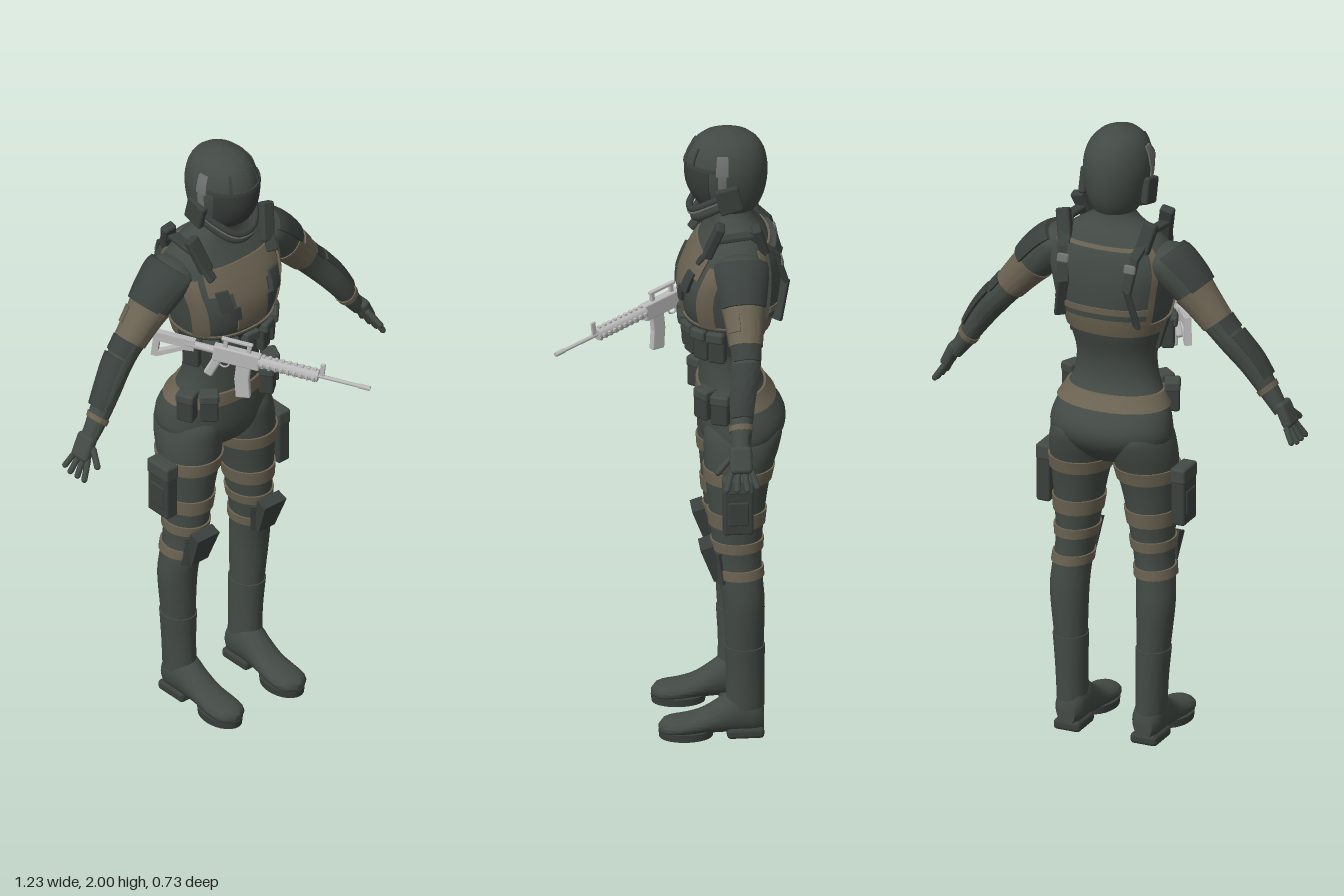
import * as THREE from 'three';
import { toCreasedNormals } from 'three/addons/utils/BufferGeometryUtils.js';
import { RoundedBoxGeometry } from 'three/addons/geometries/RoundedBoxGeometry.js';

const mat = (name, color) => Object.assign(new THREE.MeshStandardMaterial({ color }), { name });
const PI = Math.PI;

export function createModel() {
  const root = new THREE.Group();
  root.name = 'soldier';
  const suit = mat('suit', 0x434a45), tan = mat('tan webbing', 0x6b6352), dark = mat('dark gear', 0x3a403d);
  const visorMat = mat('visor', 0x363c39), grey = mat('grey fittings', 0x6c706e), steel = mat('rifle steel', 0xbababa);

  const add = (name, geo, m, parent = root, pos = [0, 0, 0], rot = [0, 0, 0]) => {
    const mesh = new THREE.Mesh(geo, m);
    mesh.name = name;
    mesh.position.set(...pos);
    mesh.rotation.set(...rot);
    parent.add(mesh);
    return mesh;
  };
  const rbox = (w, h, d, r = 0.008) => new RoundedBoxGeometry(w, h, d, 2, Math.min(r, w / 2.1, h / 2.1, d / 2.1));

  // Cross-section rows are [y, cx, cz, rx, rz, squareness], smoothed along y
  const profile = (rows) => {
    const out = [], K = 6, n = rows.length - 1;
    for (let i = 0; i < n; i++) for (let k = 0; k < K; k++) {
      const t = k / K, [p, q, r, s] = [-1, 0, 1, 2].map((d) => rows[Math.min(n, Math.max(0, i + d))]);
      out.push(q.map((b, c) => b + 0.5 * t * (r[c] - p[c] + t * (2 * p[c] - 5 * b + 4 * r[c] - s[c] + t * (3 * (b - r[c]) + s[c] - p[c])))));
    }
    out.push(rows[n]);
    return out;
  };
  const rowAt = (rows, y) => {
    let i = 0;
    while (i < rows.length - 2 && rows[i + 1][0] < y) i++;
    const a = rows[i], b = rows[i + 1], t = THREE.MathUtils.clamp((y - a[0]) / (b[0] - a[0]), 0, 1);
    return a.map((v, c) => v + (b[c] - v) * t);
  };
  // Angle 0 faces +z, positive turns toward +x
  const onSurface = (rows, y, a, grow = 0, scale = 1) => {
    const [, cx, cz, rx, rz, n = 2] = rowAt(rows, y);
    const f = (v) => Math.sign(v) * Math.abs(v) ** (2 / n);
    return [cx + f(Math.sin(a)) * (rx + grow) * scale, y, cz + f(Math.cos(a)) * (rz + grow) * scale];
  };
  // Raised patch over a body surface, rimmed at its edges; a full turn is capped instead
  const patch = (rows, y0, y1, a0 = 0, a1 = 2 * PI, grow = 0) => {
    if (a1 < a0) [a0, a1] = [a1, a0];
    const full = a1 - a0 > 6.28, N = Math.max(2, Math.ceil((y1 - y0) / 0.018)), M = Math.max(3, Math.ceil((a1 - a0) * 6.5));
    const pos = [], idx = [], e = full ? 0 : 1, W = M + 1 + 2 * e;
    for (let i = -1; i <= N + 1; i++) for (let j = -e; j <= M + e; j++) {
      const rimY = i < 0 || i > N, rimA = j < 0 || j > M, { clamp } = THREE.MathUtils;
      const y = y0 + (y1 - y0) * clamp(i / N, 0, 1), a = a0 + (a1 - a0) * clamp(j / M, 0, 1);
      pos.push(...onSurface(rows, y, a, !full && (rimY || rimA) ? -0.004 : grow, full && rimY ? 0 : 1));
    }
    for (let i = 0; i < N + 2; i++) for (let j = 0; j < W - 1; j++) {
      const p = i * W + j, q = p + W;
      idx.push(p, p + 1, q + 1, p, q + 1, q);
    }
    const g = new THREE.BufferGeometry();
    g.setAttribute('position', new THREE.Float32BufferAttribute(pos, 3));
    g.setIndex(idx);
    return toCreasedNormals(g, 0.8);
  };
  // Flat strap made of box links along a path
  const strap = (name, pts, w, t, m) => {
    for (let i = 0; i < pts.length - 1; i++) {
      const a = new THREE.Vector3(...pts[i]), b = new THREE.Vector3(...pts[i + 1]);
      const mesh = add(name, rbox(w, t, a.distanceTo(b) + 0.01, 0.005), m);
      mesh.position.copy(a).lerp(b, 0.5);
      mesh.lookAt(b);
    }
  };

  // Torso, hips and neck
  const torso = profile([
    [0.925, 0, -0.215, 0.08, 0.07, 2], [0.95, 0, -0.215, 0.15, 0.1, 2], [1.0, 0, -0.225, 0.194, 0.129, 2.1],
    [1.05, 0, -0.226, 0.195, 0.134, 2.1], [1.1, 0, -0.212, 0.18, 0.118, 2.1], [1.15, 0, -0.195, 0.152, 0.1, 2.1],
    [1.2, 0, -0.188, 0.134, 0.09, 2.1], [1.27, 0, -0.19, 0.13, 0.092, 2.1], [1.35, 0, -0.19, 0.15, 0.118, 2.2],
    [1.42, 0, -0.182, 0.168, 0.142, 2.3], [1.5, 0, -0.183, 0.183, 0.147, 2.4], [1.57, 0, -0.195, 0.196, 0.132, 2.4],
    [1.63, 0, -0.207, 0.185, 0.108, 2.3], [1.67, 0, -0.21, 0.15, 0.086, 2.1], [1.7, 0, -0.205, 0.1, 0.068, 2],
    [1.73, 0, -0.198, 0.06, 0.06, 2], [1.79, 0, -0.19, 0.055, 0.056, 2]]);
  add('torso', patch(torso, 0.925, 1.79), suit);
  add('belt', patch(torso, 1.108, 1.152, 0, 2 * PI, 0.008), tan);
  add('lowerVestBand', patch(torso, 1.355, 1.395, 0, 2 * PI, 0.007), tan);
  add('pouchBelt', patch(torso, 1.29, 1.39, -1.6, 1.6, 0.01), dark);
  add('chestPanel', patch(torso, 1.55, 1.625, -0.72, 0.72, 0.006), tan);
  add('sternumPanel', patch(torso, 1.41, 1.55, -0.27, 0.27, 0.006), tan);
  add('backTrim', patch(torso, 1.395, 1.65, PI - 1.05, PI + 1.05, 0.007), tan);
  add('backPlate', patch(torso, 1.42, 1.64, PI - 0.85, PI + 0.85, 0.022), suit);
  add('backPlateBand', patch(torso, 1.44, 1.46, PI - 0.85, PI + 0.85, 0.026), tan);
  for (let i = -3; i <= 3; i++) {
    const a = i * 0.4;
    add('ammoPouch', rbox(0.052, 0.1, 0.04), dark, root, onSurface(torso, 1.33, a, 0.016), [0, a, 0]);
    add('ammoPouchFlap', rbox(0.055, 0.035, 0.044), suit, root, onSurface(torso, 1.367, a, 0.012), [0, a, 0]);
  }

  // Helmet
  const helmet = profile([
    [1.74, 0, -0.195, 0.068, 0.078], [1.77, 0, -0.188, 0.086, 0.102], [1.82, 0, -0.182, 0.099, 0.122],
    [1.88, 0, -0.18, 0.105, 0.127], [1.93, 0, -0.18, 0.096, 0.117], [1.965, 0, -0.18, 0.077, 0.096],
    [1.985, 0, -0.18, 0.055, 0.07], [1.996, 0, -0.18, 0.032, 0.041], [2.0, 0, -0.18, 0.012, 0.016]]);
  add('helmet', patch(helmet, 1.74, 2.0), suit);
  add('visor', patch(helmet, 1.765, 1.895, -1.05, 1.05, 0.003), visorMat);
  add('browRim', patch(helmet, 1.893, 1.904, -1.2, 1.2, 0.006), dark);
  add('crownStrip', patch(helmet, 1.9, 1.965, -0.1, 0.1, 0.004), suit);
  const jaw = (y, z, w) => new THREE.CatmullRomCurve3([[-w, y + 0.085, z - 0.11], [-w * 0.8, y + 0.045, z - 0.05],
    [-w * 0.3, y + 0.003, z], [w * 0.3, y + 0.003, z], [w * 0.8, y + 0.045, z - 0.05], [w, y + 0.085, z - 0.11]].map((p) => new THREE.Vector3(...p)));
  add('jawGuard', new THREE.TubeGeometry(jaw(1.742, -0.072, 0.104), 32, 0.011, 8), dark);
  add('jawGuardTrim', new THREE.TubeGeometry(jaw(1.73, -0.07, 0.106), 32, 0.006, 8), grey);
  add('chinGuard', new THREE.TubeGeometry(jaw(1.713, -0.085, 0.1), 32, 0.012, 8), dark);

  // Everything that comes in pairs: s is +1 for the left side, -1 for the right
  for (const s of [1, -1]) {
    // Helmet sides
    add('earCup', rbox(0.024, 0.085, 0.075), dark, root, [s * 0.106, 1.805, -0.18], [0.25, 0, 0]);
    add('helmetSidePanel', patch(helmet, 1.885, 1.945, s * 1.25, s * 1.55, 0.004), grey);
    add('helmetSideClip', patch(helmet, 1.835, 1.885, s * 1.3, s * 1.5, 0.004), grey);
    add('helmetStrip', patch(helmet, 1.9, 1.955, s * 0.52, s * 0.6, 0.005), dark);

    // Vest panels and shoulder straps
    add('vestSide', patch(torso, 1.395, 1.6, s * 0.85, s * 1.25, 0.006), tan);
    add('chestPouch', patch(torso, 1.5, 1.565, s * 0.34, s * 0.58, 0.014), dark);
    add('chestBuckle', patch(torso, 1.46, 1.505, s * 0.22, s * 0.4, 0.012), dark);
    strap('shoulderStrap', [[s * 0.122, 1.61, -0.085], [s * 0.143, 1.69, -0.145], [s * 0.142, 1.7, -0.24],
      [s * 0.12, 1.63, -0.32], [s * 0.108, 1.53, -0.35], [s * 0.13, 1.41, -0.325]], 0.036, 0.016, dark);
    add('strapPadFront', rbox(0.045, 0.125, 0.03), dark, root, [s * 0.138, 1.685, -0.13], [-0.35, 0, -s * 0.25]);
    add('strapPadBack', rbox(0.045, 0.12, 0.03), dark, root, [s * 0.137, 1.675, -0.275], [0.3, 0, -s * 0.22]);
    add('strapBuckle', rbox(0.04, 0.03, 0.014), grey, root, [s * 0.113, 1.6, -0.338], [0.25, 0, 0]);

    // Belt pouches
    for (const a of [0.68, 1.15]) {
      const p = onSurface(torso, 1.125, a * s, 0.018);
      add('beltPouch', rbox(0.056, 0.095, 0.046), dark, root, p, [0, a * s, 0]);
      add('beltPouchFlap', rbox(0.06, 0.034, 0.05), suit, root, [p[0], 1.16, p[2]], [0, a * s, 0]);
    }

    // Arm, built straight down and swung outward
    const arm = new THREE.Group();
    arm.name = s > 0 ? 'leftArm' : 'rightArm';
    arm.position.set(s * 0.2, 1.6, -0.208);
    arm.rotation.z = s * 0.695;
    root.add(arm);
    const armRows = profile([
      [-0.57, -0.018, 0.03, 0.023, 0.027], [-0.5, -0.01, 0.029, 0.031, 0.033], [-0.4, 0.002, 0.02, 0.041, 0.04],
      [-0.32, 0.004, 0.006, 0.045, 0.044], [-0.25, 0.002, 0, 0.047, 0.047], [-0.15, 0, 0, 0.056, 0.057],
      [-0.06, -0.006, 0, 0.068, 0.072], [0.02, -0.016, 0, 0.064, 0.08], [0.06, -0.03, 0, 0.04, 0.05]]
      .map(([y, cx, ...r]) => [y, cx * s, ...r]));
    const out = s * PI / 2;
    add('arm', patch(armRows, -0.57, 0.06), suit, arm);
    add('upperArmWrap', patch(armRows, -0.232, -0.11, 0, 2 * PI, 0.004), tan, arm);
    add('upperArmPatch', patch(armRows, -0.195, -0.14, out - 1.1, out - 0.3, 0.009), tan, arm);
    add('wristBand', patch(armRows, -0.497, -0.48, 0, 2 * PI, 0.004), tan, arm);
    add('shoulderPad', patch(armRows, -0.115, 0.03, out - 1.15, out + 1.15, 0.012), dark, arm);
    add('elbowPad', patch(armRows, -0.285, -0.235, out - 1.0, out + 1.0, 0.007), dark, arm);
    add('forearmGuard', patch(armRows, -0.46, -0.295, out - 0.9, out + 0.9, 0.009), dark, arm);

    // Hand with spread fingers
    const hand = new THREE.Group();
    hand.name = 'hand';
    hand.position.set(s * 0.552, 1.175, -0.176);
    hand.rotation.z = s * 0.43;
    root.add(hand);
    add('palm', rbox(0.034, 0.085, 0.07, 0.014), suit, hand, [0, -0.035, 0.003]);
    for (let i = 0; i < 4; i++) {
      const z = -0.026 + i * 0.019, tilt = -0.2 * (i - 1.5), len = i === 0 ? 0.044 : 0.058;
      add('finger', new THREE.CapsuleGeometry(0.0095, len, 3, 8), suit, hand, [0, -0.098, z + (i - 1.5) * 0.007], [tilt, 0, s * 0.12]);
    }
    add('thumb', new THREE.CapsuleGeometry(0.01, 0.055, 3, 8), suit, hand, [-s * 0.006, -0.05, 0.056], [-0.75, 0, 0]);

    // Leg with webbing
    const leg = profile([
      [0.1, 0.133, -0.225, 0.043, 0.056], [0.2, 0.136, -0.226, 0.045, 0.055], [0.3, 0.14, -0.224, 0.05, 0.058],
      [0.45, 0.146, -0.221, 0.06, 0.064], [0.53, 0.142, -0.212, 0.06, 0.068], [0.6, 0.134, -0.205, 0.06, 0.071],
      [0.68, 0.127, -0.201, 0.067, 0.078], [0.8, 0.12, -0.202, 0.081, 0.09], [0.9, 0.111, -0.207, 0.096, 0.104],
      [0.97, 0.104, -0.217, 0.1, 0.116], [1.03, 0.097, -0.222, 0.088, 0.118], [1.08, 0.09, -0.215, 0.055, 0.075]]
      .map(([y, cx, ...r]) => [y, cx * s, ...r]));
    add('leg', patch(leg, 0.1, 1.08), suit);
    add('bootShaft', patch(leg, 0.1, 0.31, 0, 2 * PI, 0.004), suit);
    for (const [y0, y1] of [[0.87, 0.912], [0.722, 0.77], [0.64, 0.672], [0.55, 0.58]])
      add('legStrap', patch(leg, y0, y1, 0, 2 * PI, 0.006), tan);
    add('kneeGuard', patch(leg, 0.535, 0.635, -0.75, 0.75, 0.012), dark);
    const knee = new THREE.CylinderGeometry(0.062, 0.046, 0.12, 4, 1).rotateY(PI / 4).scale(1, 1, 0.45);
    add('kneePad', toCreasedNormals(knee, 0.5), dark, root, [s * 0.136, 0.6, -0.122], [0.32, 0, 0]);

    // Thigh holster
    add('thighHolster', rbox(0.046, 0.185, 0.092), dark, root, [s * 0.228, 0.825, -0.195]);
    add('holsterFlap', rbox(0.05, 0.05, 0.096), suit, root, [s * 0.228, 0.895, -0.195]);
    add('holsterPocket', rbox(0.012, 0.08, 0.065), dark, root, [s * 0.249, 0.805, -0.195]);

    // Boot foot, laid along z
    const foot = profile([
      [-0.282, 0.13, -0.062, 0.03, 0.045], [-0.26, 0.13, -0.075, 0.045, 0.065], [-0.2, 0.13, -0.085, 0.05, 0.073],
      [-0.155, 0.129, -0.07, 0.048, 0.058], [-0.1, 0.127, -0.051, 0.05, 0.039], [-0.05, 0.126, -0.041, 0.055, 0.031],
      [0.0, 0.126, -0.037, 0.052, 0.028], [0.028, 0.126, -0.034, 0.036, 0.022], [0.038, 0.126, -0.032, 0.015, 0.012]]
      .map(([y, cx, ...r]) => [y, cx * s, ...r]));
    add('bootFoot', patch(foot, -0.282, 0.038), suit, root, [0, 0, 0], [PI / 2, 0, 0]);
    add('bootHeel', rbox(0.09, 0.034, 0.115, 0.012), dark, root, [s * 0.13, 0.017, -0.225]);
    add('bootSole', new THREE.CylinderGeometry(0.057, 0.055, 0.024, 28).scale(1, 1, 1.5), dark, root, [s * 0.126, 0.012, -0.045]);
  }

  // Rifle, built along +z from the stock and aimed across the body
  const rifle = new THREE.Group();
  rifle.name = 'rifle';
  rifle.position.set(-0.25, 1.397, -0.21);
  rifle.lookAt(0.135, 1.317, 0.36);
  root.add(rifle);
  const rod = (r, len) => new THREE.CylinderGeometry(r, r, len, 10).rotateX(PI / 2);
  const stock = new THREE.Shape([[0, 0.018], [0, -0.07], [0.02, -0.07], [0.1, -0.022], [0.13, -0.018], [0.13, 0.018]].map((p) => new THREE.Vector2(...p)));
  stock.holes.push(new THREE.Path([[0.02, -0.012], [0.09, -0.012], [0.02, -0.052]].map((p) => new THREE.Vector2(...p))));
  add('stock', new THREE.ExtrudeGeometry(stock, { depth: 0.022, bevelEnabled: false }).translate(0, 0, -0.011).rotateY(-PI / 2), steel, rifle);
  add('bufferTube', rod(0.012, 0.1), steel, rifle, [0, 0, 0.15]);
  add('receiver', rbox(0.028, 0.055, 0.15, 0.005), steel, rifle, [0, -0.005, 0.265]);
  add('grip', rbox(0.022, 0.075, 0.03), steel, rifle, [0, -0.06, 0.195], [0.35, 0, 0]);
  add('triggerGuard', new THREE.TorusGeometry(0.016, 0.003, 6, 16).rotateY(PI / 2), steel, rifle, [0, -0.038, 0.228]);
  add('magazineUpper', rbox(0.02, 0.07, 0.046, 0.004), steel, rifle, [0, -0.055, 0.29]);
  add('magazineLower', rbox(0.02, 0.07, 0.046, 0.004), steel, rifle, [0, -0.112, 0.296], [-0.18, 0, 0]);
  add('carryHandle', rbox(0.014, 0.01, 0.1, 0.003), steel, rifle, [0, 0.05, 0.26]);
  for (const z of [0.225, 0.3]) add('handlePost', rbox(0.012, 0.035, 0.014, 0.003), steel, rifle, [0, 0.034, z]);
  add('handguard', rod(0.02, 0.19), steel, rifle, [0, 0, 0.43]);
  for (let i = 0; i < 9; i++) for (const k of [0, 1])
    add('railTooth', rbox(k ? 0.012 : 0.05, k ? 0.05 : 0.012, 0.01, 0.002), steel, rifle, [0, 0, 0.348 + i * 0.0205]);
  add('barrel', rod(0.006, 0.19), steel, rifle, [0, 0, 0.595]);
  add('muzzle', rod(0.0075, 0.035), steel, rifle, [0, 0, 0.672]);
  add('frontSight', rbox(0.008, 0.045, 0.016, 0.003), steel, rifle, [0, 0.025, 0.535]);
  return root;
}
